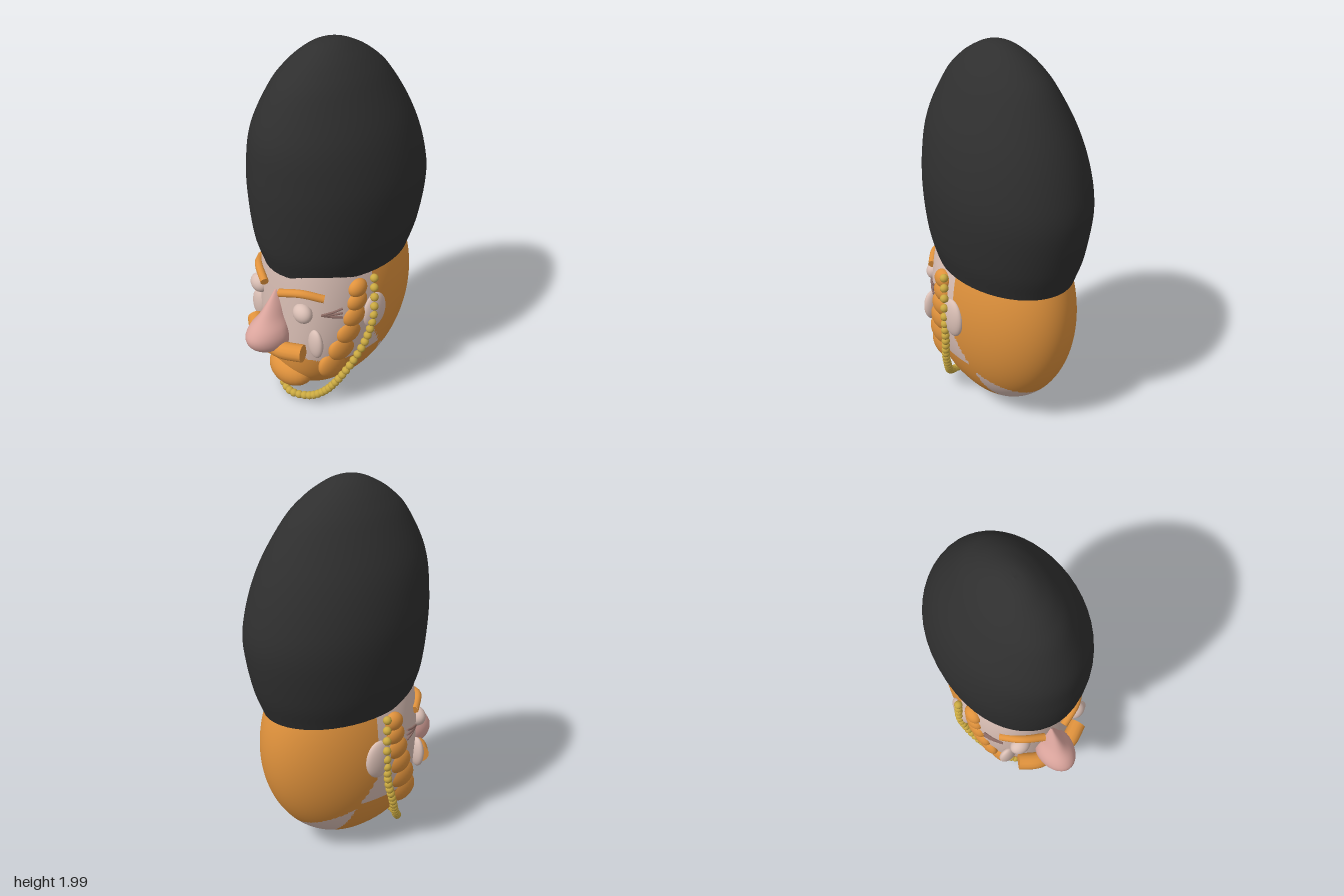
import * as THREE from 'three';

const mat = (name, color) => {
  const m = new THREE.MeshStandardMaterial({ color });
  m.name = name;
  return m;
};
const V = (x, y, z) => new THREE.Vector3(x, y, z);

// Dense rows from a few [y, halfWidth, zFront, zBack, zCentre] profile points
function smoothRows(points, count) {
  const a = new THREE.CatmullRomCurve3(points.map(p => V(p[0], p[1], p[2])), false, 'catmullrom');
  const b = new THREE.CatmullRomCurve3(points.map(p => V(p[0], p[3], p[4])), false, 'catmullrom');
  return Array.from({ length: count + 1 }, (_, i) => {
    const p = a.getPoint(i / count), q = b.getPoint(i / count);
    return [p.x, Math.max(p.y, 0), p.z, q.y, q.z];
  });
}

// Skin horizontal rings; front half is a superellipse of power n.
// pick(x, y, z) chooses the material group of each triangle.
function loft(rows, seg, n = 2, pick = () => 0) {
  const pos = [], groups = [[], []];
  for (const [y, w, zf, zb, zc] of rows) {
    for (let i = 0; i < seg; i++) {
      const a = (i / seg) * Math.PI * 2, c = Math.cos(a), s = Math.sin(a);
      const e = s > 0 ? 2 / n : 1;
      const depth = s > 0 ? zf - zc : zc - zb;
      pos.push(w * Math.sign(c) * Math.abs(c) ** e, y, zc + depth * Math.sign(s) * Math.abs(s) ** e);
    }
  }
  const tri = (...t) => {
    const m = [0, 1, 2].map(k => t.reduce((sum, v) => sum + pos[v * 3 + k], 0) / 3);
    groups[pick(...m)].push(...t);
  };
  for (let j = 0; j < rows.length - 1; j++) {
    for (let i = 0; i < seg; i++) {
      const k = (i + 1) % seg;
      const a = j * seg + i, b = j * seg + k, c = a + seg, d = b + seg;
      tri(a, c, b);
      tri(b, c, d);
    }
  }
  const g = new THREE.BufferGeometry();
  g.setAttribute('position', new THREE.Float32BufferAttribute(pos, 3));
  g.setIndex([...groups[0], ...groups[1]]);
  g.addGroup(0, groups[0].length, 0);
  g.addGroup(groups[0].length, groups[1].length, 1);
  g.computeVertexNormals();
  return g;
}

export function createModel() {
  const model = new THREE.Group();
  model.name = 'guardHead';
  const black = mat('black fur', 0x2f2f2f);
  const orange = mat('ginger hair', 0xe0923c);
  const skin = mat('skin', 0xdabfb5);
  const pink = mat('nose pink', 0xdba59d);
  const brown = mat('wrinkle brown', 0x8c6b64);
  const gold = mat('gold', 0xcaa941);

  const add = (name, geometry, material, parent = model) => {
    const m = new THREE.Mesh(geometry, material);
    m.name = name;
    parent.add(m);
    return m;
  };
  const ball = (name, material, p, r, parent) => {
    const m = add(name, new THREE.SphereGeometry(1, 28, 18), material, parent);
    m.position.set(...p);
    m.scale.set(...r);
    return m;
  };
  // Tube along points, closed with a flat disc at each end
  const rod = (name, material, points, r) => {
    const curve = new THREE.CatmullRomCurve3(points.map(p => V(...p)));
    const m = add(name, new THREE.TubeGeometry(curve, 20, r, 14), material);
    for (const [t, sign] of [[0, -1], [1, 1]]) {
      const cap = add(name + 'End', new THREE.CircleGeometry(r, 14), material, m);
      cap.position.copy(curve.getPoint(t));
      cap.quaternion.setFromUnitVectors(V(0, 0, 1), curve.getTangent(t).multiplyScalar(sign));
    }
  };

  // Head: egg shape with a flattened face
  const headRows = [];
  for (let i = 0; i <= 90; i++) {
    const v = (i / 90) * 2.1, s = Math.sin(v), e = 0.487 * s;
    const front = e < 0.01 ? e : (e ** -8 + 0.365 ** -8) ** (-1 / 8);
    headRows.push([0.62 - 0.58 * Math.cos(v), 0.32 * s, front, -e, 0]);
  }
  // Hair covers the back, beard covers the jaw, skin shows between
  const hairy = (x, y, z) => {
    const edge = y > 0.5 ? -0.02 : y > 0.31 ? -0.02 - (0.5 - y) * 0.5 : -0.115 - (0.31 - y) * 2.05;
    const beard = y < 0.345 + Math.max(0, z - 0.2) * 0.25 && z > -0.115 - (0.31 - y) * 0.2;
    return z < edge || beard ? 1 : 0;
  };
  add('head', loft(headRows, 144, 2.4, hairy), [skin, orange]);
  ball('chin', orange, [0, 0.2, 0.27], [0.14, 0.1, 0.105]);

  // Tall fur hat, hem dipping a little toward the back
  const hat = loft(smoothRows([
    [0.85, 0.305, 0.368, -0.458, -0.045], [1.0, 0.346, 0.412, -0.51, -0.05],
    [1.22, 0.372, 0.437, -0.546, -0.055], [1.4, 0.364, 0.44, -0.52, -0.04],
    [1.6, 0.318, 0.42, -0.448, -0.015], [1.8, 0.226, 0.33, -0.33, 0],
    [1.9, 0.16, 0.24, -0.23, 0.005], [1.96, 0.1, 0.15, -0.135, 0.01],
    [1.99, 0.05, 0.08, -0.06, 0.01], [2.0, 0, 0.01, 0.01, 0.01],
  ], 54), 48);
  const hp = hat.attributes.position;
  for (let i = 0; i < hp.count; i++) {
    const y = hp.getY(i);
    hp.setY(i, y + 0.03 * hp.getZ(i) * Math.max(0, 1 - (y - 0.85) / 0.3));
  }
  hat.computeVertexNormals();
  add('furHat', hat, [black, black]);

  // Nose with a slim bridge and round tip
  add('nose', loft(smoothRows([
    [0.395, 0, 0.41, 0.41, 0.41], [0.41, 0.05, 0.47, 0.34, 0.4], [0.45, 0.09, 0.527, 0.3, 0.4],
    [0.5, 0.1, 0.547, 0.3, 0.4], [0.55, 0.088, 0.525, 0.3, 0.4], [0.61, 0.055, 0.468, 0.3, 0.38],
    [0.68, 0.032, 0.415, 0.3, 0.35], [0.75, 0.01, 0.365, 0.3, 0.33],
  ], 36), 32), [pink, pink]);

  // Thin lips
  for (const [y, w] of [[0.344, 0.115], [0.33, 0.08]]) {
    ball('lip', pink, [0, y, 0.352], [w, 0.005, 0.014]);
  }

  for (const s of [1, -1]) {
    ball('eye', skin, [s * 0.173, 0.68, 0.33], [0.057, 0.052, 0.045]);
    ball('cheek', skin, [s * 0.23, 0.5, 0.295], [0.05, 0.085, 0.028]);
    ball('ear', skin, [s * 0.318, 0.612, -0.02], [0.032, 0.105, 0.075]);
    rod('eyebrow', orange, [[s * 0.25, 0.775, 0.255], [s * 0.17, 0.8, 0.335], [s * 0.06, 0.77, 0.385]], 0.021);
    rod('moustache', orange, [[0, 0.41, 0.4], [s * 0.1, 0.435, 0.4], [s * 0.195, 0.445, 0.35]], 0.046);
    // Wrinkles fanning out beside the eye
    for (const d of [-1, 0, 1]) {
      rod('eyeWrinkle', brown, [[s * 0.245, 0.677, 0.27], [s * 0.278, 0.677 + d * 0.015, 0.22],
        [s * 0.298, 0.677 + d * 0.028, 0.175]], 0.006);
    }
    // Curled sideburn of overlapping lobes
    const burn = new THREE.Group();
    burn.name = 'sideburn';
    model.add(burn);
    [[0.3, 0.79, 0.08, 0.055], [0.3, 0.715, 0.085, 0.062], [0.298, 0.63, 0.1, 0.07],
      [0.288, 0.535, 0.125, 0.076], [0.27, 0.435, 0.155, 0.084], [0.235, 0.325, 0.185, 0.092]]
      .forEach(([x, y, z, r]) => ball('sideburnLobe', orange, [s * x, y, z], [0.04, r * 0.92, r], burn));
  }

  // Beaded chin chain hanging under the beard
  const half = [[0.345, 0.84, 0.01], [0.348, 0.62, 0.01], [0.325, 0.45, 0.04], [0.285, 0.3, 0.1],
    [0.235, 0.18, 0.155], [0.19, 0.105, 0.205], [0.12, 0.055, 0.255]];
  const path = [...half, [0, 0.03, 0.29], ...half.slice().reverse().map(([x, y, z]) => [-x, y, z])];
  const chain = new THREE.CatmullRomCurve3(path.map(p => V(...p)), false, 'catmullrom');
  const beads = new THREE.Group();
  beads.name = 'chinChain';
  model.add(beads);
  const bead = new THREE.SphereGeometry(0.022, 14, 10);
  for (let i = 0; i <= 54; i++) {
    add('bead', bead, gold, beads).position.copy(chain.getPoint(i / 54));
  }
  return model;
}
